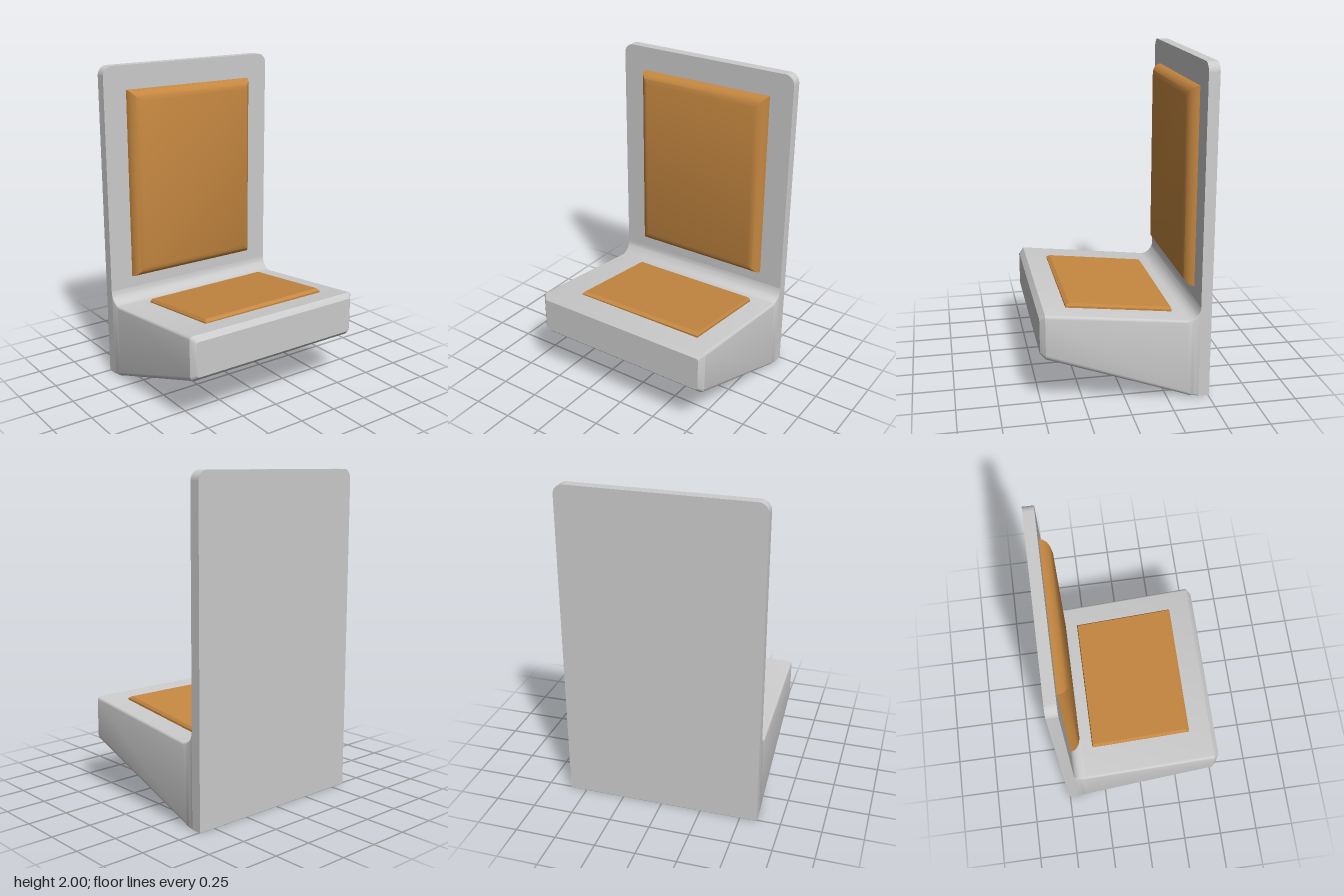
import * as THREE from 'three';
import { toCreasedNormals } from 'three/addons/utils/BufferGeometryUtils.js';

const grey = new THREE.MeshStandardMaterial({ color: 0xcccccc });
const orange = new THREE.MeshStandardMaterial({ color: 0xc58740 });

// Skins a row of convex rings (counter-clockwise seen from the last ring) and caps both ends
function loft(rings, crease) {
  const n = rings[0].length, index = [];
  for (let i = 0; i < rings.length - 1; i++) {
    for (let j = 0; j < n; j++) {
      const a = i * n + j, b = i * n + (j + 1) % n;
      index.push(a, b, b + n, a, b + n, a + n);
    }
  }
  const last = (rings.length - 1) * n;
  for (let j = 1; j < n - 1; j++) {
    index.push(0, j + 1, j, last, last + j, last + j + 1);
  }
  const g = new THREE.BufferGeometry();
  g.setAttribute('position', new THREE.Float32BufferAttribute(rings.flat(2), 3));
  g.setIndex(index);
  return toCreasedNormals(g, crease);
}

// Rounded rectangle at a given x; separate radii for bottom and top corners
function section([x, y0, y1, half, rBottom, rTop]) {
  const ring = [];
  [[1, 1], [-1, 1], [-1, -1], [1, -1]].forEach(([su, sv], k) => {
    const r = sv > 0 ? rTop : rBottom;
    for (let s = 0; s <= 4; s++) {
      const t = (k + s / 4) * Math.PI / 2;
      const u = su * (half - r) + r * Math.cos(t);
      const y = (sv > 0 ? y1 - r : y0 + r) + r * Math.sin(t);
      ring.push([x, y, -u]);
    }
  });
  return ring;
}

const topAt = x => 0.495 + (x + 0.36) * 0.12;
const bottomAt = x => Math.max(0, (x + 0.39) * 0.364);

export function createModel() {
  const model = new THREE.Group();
  const add = (name, geometry, material) => {
    const mesh = new THREE.Mesh(geometry, material);
    mesh.name = name;
    model.add(mesh);
  };

  // Upright panel with rounded upper corners
  const W = 0.605, r = 0.06;
  const outline = new THREE.Shape();
  outline.moveTo(-W, 0);
  outline.lineTo(W, 0);
  outline.lineTo(W, 2 - r);
  outline.absarc(W - r, 2 - r, r, 0, Math.PI / 2);
  outline.lineTo(-W + r, 2);
  outline.absarc(-W + r, 2 - r, r, Math.PI / 2, Math.PI);
  outline.closePath();
  const panel = new THREE.ExtrudeGeometry(outline, { depth: 0.066, bevelEnabled: false, curveSegments: 8 });
  panel.rotateY(Math.PI / 2).translate(-0.506, 0, 0);
  add('backPanel', toCreasedNormals(panel, 0.6), grey);

  // Wedge-shaped seat: concave fillet at the panel, chamfered front
  const sections = [];
  for (let i = 0; i <= 6; i++) {
    const a = (i / 6) * Math.PI / 2;
    const x = -0.44 + 0.08 * (1 - Math.cos(a));
    sections.push([x, bottomAt(x), 0.575 - 0.08 * Math.sin(a), W, 0.003 + 0.004 * i, 0.003 + 0.002 * i]);
  }
  sections.push([0.476, bottomAt(0.476), topAt(0.476), W, 0.035, 0.02]);
  sections.push([0.506, 0.345, 0.565, 0.575, 0.018, 0.015]);
  add('seat', loft(sections.map(section), 0.6), grey);

  // Backrest cushion with a rounded rim
  const rim = [[0, 0], [0.022, 0.004], [0.043, 0.016], [0.058, 0.036], [0.068, 0.064]];
  const backRings = rim.map(([d, inset]) => {
    const x = -0.441 + d, h = 0.453 - inset, lo = 0.65 + inset, hi = 1.85 - inset;
    return [[x, lo, h], [x, lo, -h], [x, hi, -h], [x, hi, h]];
  });
  add('backCushion', loft(backRings, 0.6), orange);

  // Thin sloping seat cushion: lift, back, front and side insets per ring
  const seatRings = [
    [-0.03, 0, 0, 0, 0],
    [0.009, 0, 0, 0, 0],
    [0.024, 0.005, 0.022, 0.01, 0.014],
  ].map(([lift, back, front, zMin, zMax]) => {
    const x0 = -0.3 + back, x1 = 0.34 - front, z0 = -0.465 + zMin, z1 = 0.405 - zMax;
    const point = (x, z) => [x, topAt(x) + lift - z * 0.006, z];
    return [point(x0, z0), point(x0, z1), point(x1, z1), point(x1, z0)];
  });
  add('seatCushion', loft(seatRings, 0.4), orange);

  return model;
}
